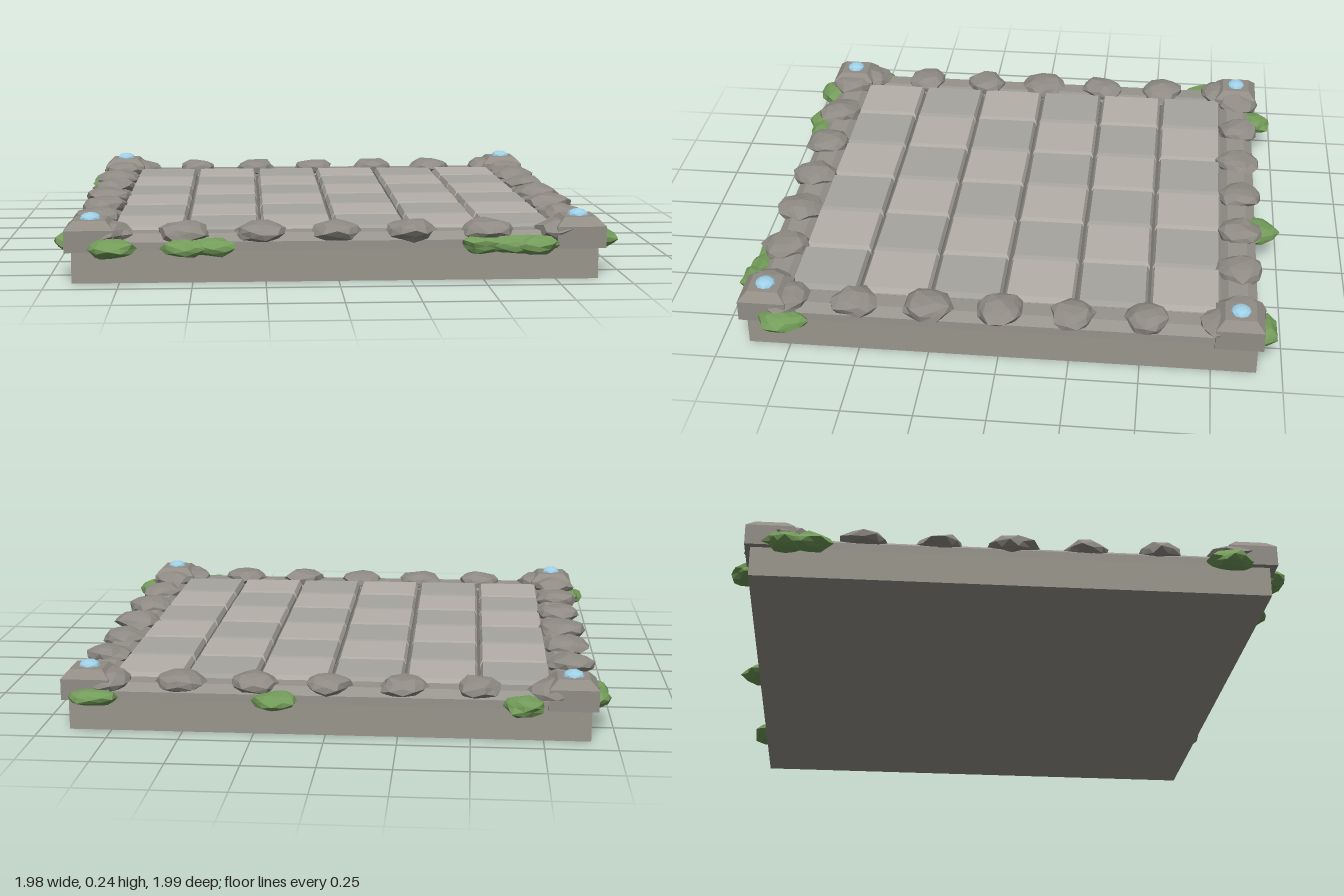
import * as THREE from 'three';

const CX = -0.007; // the slab sits a touch off centre, overhung by the plants
const material = (color) => new THREE.MeshStandardMaterial({ color, flatShading: true, roughness: 0.9 });
const mats = {
  base: material(0x99958c),
  rail: material(0x96938b),
  grout: material(0x74716a),
  tileWarm: material(0xb5b1a9),
  tileCool: material(0xa6a59f),
  post: material(0x918d85),
  stone: material(0x8f8b84),
  leaf: material(0x739c5a),
  gem: material(0x9fcfe6),
};

// Small seeded random generator
let seed = 17;
function random() {
  seed = (seed * 16807) % 2147483647;
  return seed / 2147483647;
}

// Box standing on y = 0 whose top edges are chamfered
function chamferBox(w, h, d, inset, drop) {
  const geo = new THREE.BoxGeometry(w, h, d, 1, 2, 1);
  const p = geo.attributes.position;
  for (let i = 0; i < p.count; i++) {
    const y = p.getY(i);
    if (y > h * 0.25) {
      p.setX(i, p.getX(i) - Math.sign(p.getX(i)) * inset);
      p.setZ(i, p.getZ(i) - Math.sign(p.getZ(i)) * inset);
    }
    p.setY(i, Math.abs(y) < h * 0.25 ? h - drop : y + h / 2);
  }
  geo.computeVertexNormals();
  return geo;
}

// Faceted lump: an icosphere whose corners move in or out by a seeded amount
function lump(rx, ry, rz, rough) {
  const geo = new THREE.IcosahedronGeometry(1, 1);
  const p = geo.attributes.position;
  const factors = new Map();
  const v = new THREE.Vector3();
  for (let i = 0; i < p.count; i++) {
    v.fromBufferAttribute(p, i);
    const key = v.toArray().map((c) => Math.round(c * 100)).join(',');
    if (!factors.has(key)) factors.set(key, 1 - rough + 2 * rough * random());
    v.multiplyScalar(factors.get(key));
    p.setXYZ(i, v.x * rx, v.y * ry, v.z * rz);
  }
  geo.computeVertexNormals();
  return geo;
}

export function createModel() {
  seed = 17;
  const model = new THREE.Group();
  model.name = 'stonePlatform';

  function add(parent, name, geo, mat, x, y, z) {
    const mesh = new THREE.Mesh(geo, mat);
    mesh.name = name;
    mesh.position.set(x, y, z);
    parent.add(mesh);
    return mesh;
  }
  function group(name) {
    const g = new THREE.Group();
    g.name = name;
    model.add(g);
    return g;
  }

  // Foundation slab and the recessed floor seen between tiles
  add(model, 'foundation', new THREE.BoxGeometry(1.81, 0.11, 1.81), mats.base, CX, 0.055, -0.005);
  add(model, 'groutBed', new THREE.BoxGeometry(1.58, 0.03, 1.58), mats.grout, CX, 0.125, -0.003);

  // Border rails
  const rails = group('borderRails');
  for (const s of [-1, 1]) {
    add(rails, 'crossRail', chamferBox(1.81, 0.055, 0.14, 0.035, 0.025), mats.rail, CX, 0.11, s * 0.835 - 0.005);
    add(rails, 'sideRail', chamferBox(0.14, 0.055, 1.81, 0.035, 0.025), mats.rail, CX + s * 0.835, 0.11, -0.005);
  }

  // Six by six floor in two alternating shades
  const floor = group('floorTiles');
  const tile = chamferBox(0.25, 0.06, 0.25, 0.009, 0.02);
  for (let i = 0; i < 6; i++) {
    for (let j = 0; j < 6; j++) {
      const mat = (i + j) % 2 ? mats.tileWarm : mats.tileCool;
      const t = add(floor, 'floorTile', tile, mat, CX + (i - 2.5) * 0.26, 0.112, (j - 2.5) * 0.26 - 0.003);
      t.rotation.y = (random() - 0.5) * 0.015;
    }
  }

  // Corner posts, each with a small gem on top
  const posts = group('cornerPosts');
  const post = chamferBox(0.17, 0.105, 0.17, 0.03, 0.03);
  const gem = new THREE.IcosahedronGeometry(0.037, 1).scale(1, 0.6, 1);
  for (const sx of [-1, 1]) {
    for (const sz of [-1, 1]) {
      const x = CX + sx * 0.842;
      const z = sz * 0.842 - 0.002;
      add(posts, 'cornerPost', post, mats.post, x, 0.11, z);
      add(posts, 'cornerGem', gem, mats.gem, x, 0.215, z);
    }
  }

  // Boulders along the four rails
  const stones = group('borderStones');
  for (let side = 0; side < 4; side++) {
    for (let i = -3; i <= 3; i++) {
      const s = side % 2 ? 1 : -1;
      const along = i * 0.26;
      const across = s * 0.847;
      const [x, z] = side < 2 ? [along, across] : [across, along];
      const size = 0.08 + random() * 0.011;
      const stone = add(stones, 'borderStone', lump(size, 0.039, size, 0.13), mats.stone, CX + x, 0.165, z - 0.002);
      stone.rotation.y = random() * Math.PI * 2;
    }
  }

  // Moss clumps on the outer edge: x, z, half length in x, half length in z
  const clumps = [
    [-0.68, -0.915, 0.075, 0.07], [0.175, -0.915, 0.075, 0.08], [0.81, -0.92, 0.085, 0.065],
    [-0.93, -0.79, 0.05, 0.075], [-0.935, -0.71, 0.05, 0.075],
    [-0.92, 0.76, 0.06, 0.08], [0.92, 0.77, 0.065, 0.085],
    [-0.78, 0.915, 0.085, 0.075], [-0.52, 0.92, 0.08, 0.06], [-0.43, 0.91, 0.085, 0.045],
    [0.5, 0.895, 0.08, 0.05], [0.6, 0.91, 0.08, 0.05], [0.68, 0.915, 0.085, 0.06],
  ];
  const moss = group('mossClumps');
  for (const [x, z, rx, rz] of clumps) {
    add(moss, 'mossClump', lump(rx, 0.032, rz, 0.17), mats.leaf, x, 0.123, z);
  }

  return model;
}
